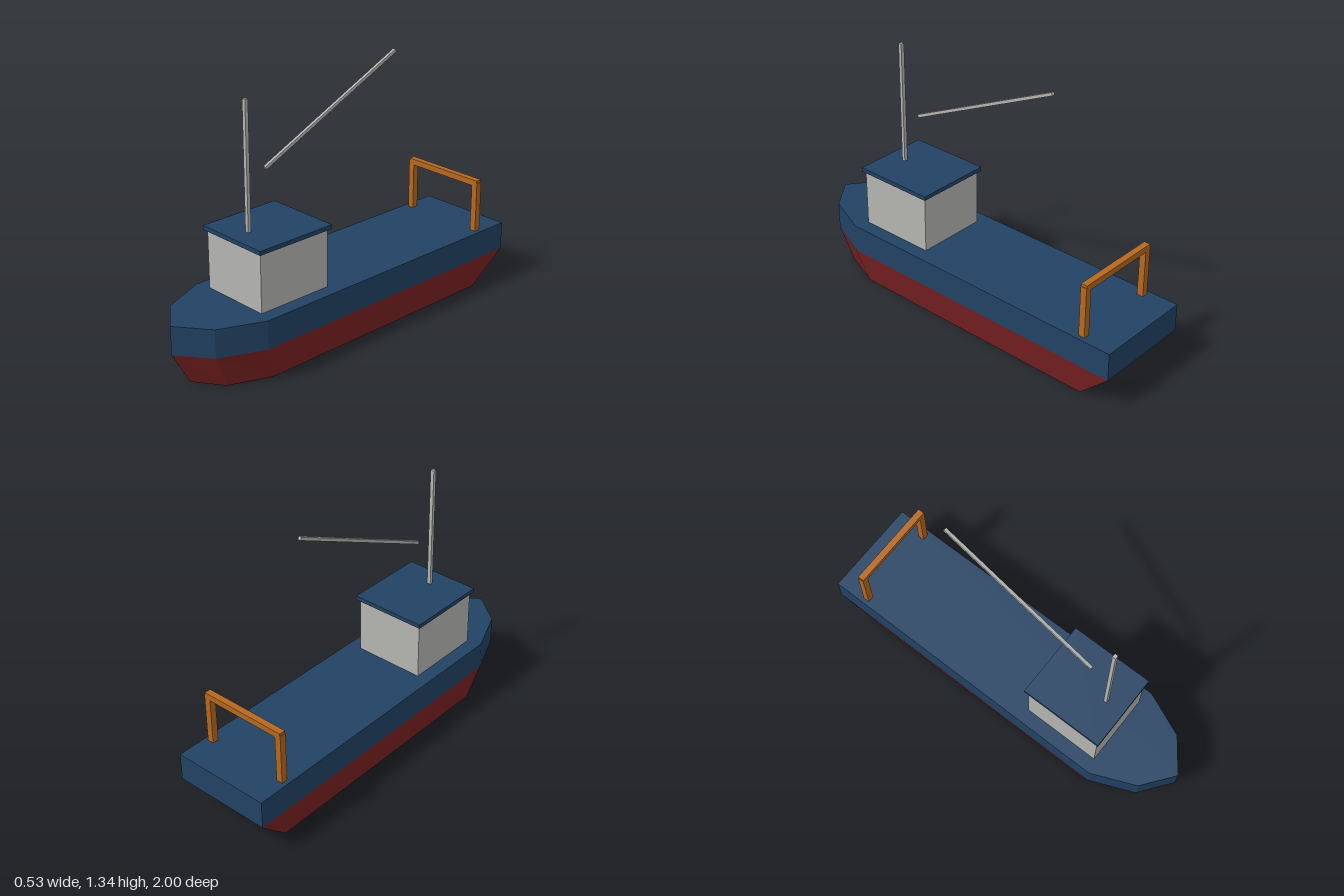
import * as THREE from 'three';

const navy = new THREE.MeshStandardMaterial({ color: 0x224263 });
navy.name = 'navy paint';
const red = new THREE.MeshStandardMaterial({ color: 0x7a2122 });
red.name = 'red antifouling';
const grey = new THREE.MeshStandardMaterial({ color: 0xb4b4b1 });
grey.name = 'light grey';
const orange = new THREE.MeshStandardMaterial({ color: 0xb5681f });
orange.name = 'orange steel';

// Half outlines [x, z] from stern to stem
const deckHalf = [[0.263, -1], [0.263, 0.645], [0.165, 0.875], [0, 1]];
const keelHalf = [[0.228, -0.82], [0.228, 0.59], [0.143, 0.8], [0, 0.9]];

// Mirrors a half outline into a closed loop at height y
function ring(half, y) {
  const mirrored = half.slice(0, -1).reverse().map(([x, z]) => [-x, z]);
  return [...half, ...mirrored].map(([x, z]) => new THREE.Vector3(x, y, z));
}

// Faceted solid between two loops, closed at both ends
function loft(low, high) {
  const points = [];
  const n = low.length;
  for (let i = 0; i < n; i++) {
    const j = (i + 1) % n;
    points.push(low[i], high[i], high[j], low[i], high[j], low[j]);
    if (i > 0 && i < n - 1) {
      points.push(high[0], high[i + 1], high[i], low[0], low[i], low[i + 1]);
    }
  }
  // The loops run from +x stern to bow, so every triangle is turned to face outwards
  const centre = new THREE.Vector3(0, (low[0].y + high[0].y) / 2, 0);
  const normal = new THREE.Vector3(), edge = new THREE.Vector3(), out = new THREE.Vector3();
  for (let i = 0; i < points.length; i += 3) {
    const [a, b, c] = points.slice(i, i + 3);
    normal.subVectors(b, a).cross(edge.subVectors(c, a));
    if (normal.dot(out.subVectors(a, centre)) < 0) {
      points[i + 1] = c;
      points[i + 2] = b;
    }
  }
  const geometry = new THREE.BufferGeometry().setFromPoints(points);
  geometry.computeVertexNormals();
  return geometry;
}

export function createModel() {
  const model = new THREE.Group();
  model.name = 'trawler';

  function add(name, geometry, material, x = 0, y = 0, z = 0, parent = model) {
    const mesh = new THREE.Mesh(geometry, material);
    mesh.name = name;
    mesh.position.set(x, y, z);
    parent.add(mesh);
    return mesh;
  }
  const box = (w, h, d) => new THREE.BoxGeometry(w, h, d);

  // Hull: tapered red bottom and straight navy topsides with deck
  add('hullBottom', loft(ring(keelHalf, 0), ring(deckHalf, 0.178)), red);
  add('hullTopsides', loft(ring(deckHalf, 0.178), ring(deckHalf, 0.325)), navy);

  // Wheelhouse with overhanging roof
  add('wheelhouse', box(0.38, 0.295, 0.415), grey, 0, 0.4725, 0.413);
  add('wheelhouseRoof', box(0.41, 0.022, 0.445), navy, 0, 0.637, 0.412);

  // Mast and slanting boom
  add('mast', box(0.02, 0.675, 0.018), grey, 0, 0.9575, 0.53);
  const rise = 0.395, run = 0.848;
  const boom = add('boom', box(0.016, 0.016, Math.hypot(rise, run)), grey, 0, 1.134, -0.003);
  boom.rotation.x = Math.atan2(rise, run);

  // Stern gantry
  const gantry = new THREE.Group();
  gantry.name = 'sternGantry';
  model.add(gantry);
  for (const side of [-1, 1]) {
    add(side > 0 ? 'leftGantryLeg' : 'rightGantryLeg', box(0.034, 0.27, 0.034), orange,
      side * 0.223, 0.458, -0.824, gantry);
  }
  add('gantryBeam', box(0.474, 0.032, 0.034), orange, 0, 0.59, -0.824, gantry);

  return model;
}
